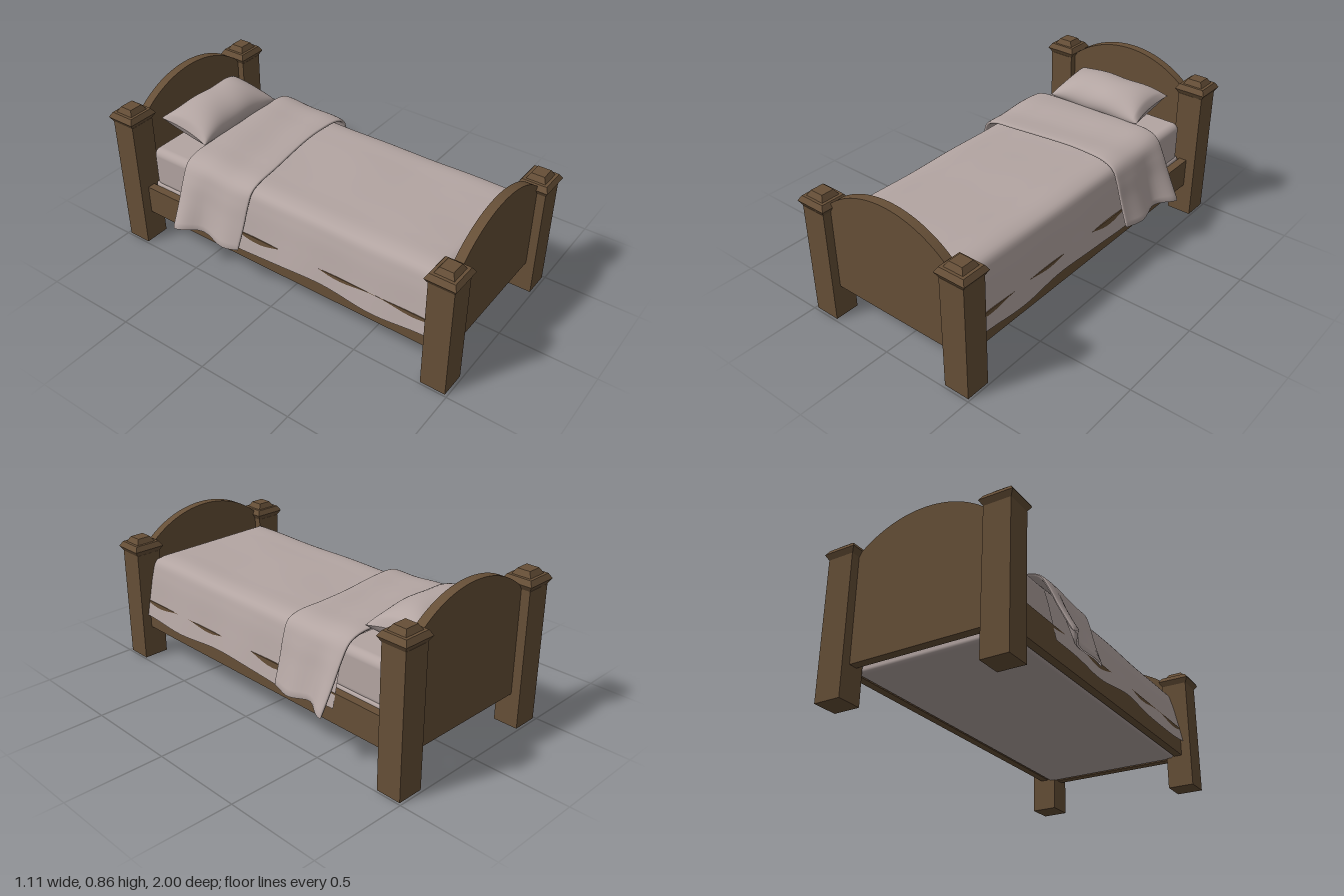
import * as THREE from 'three';
import { RoundedBoxGeometry } from 'three/addons/geometries/RoundedBoxGeometry.js';

const wood = new THREE.MeshStandardMaterial({ color: 0x664f37 });
const cloth = new THREE.MeshStandardMaterial({ color: 0xb3a5a2, side: THREE.DoubleSide });
wood.name = 'wood';
cloth.name = 'cloth';

function part(parent, name, geometry, material, x = 0, y = 0, z = 0) {
  const mesh = new THREE.Mesh(geometry, material);
  mesh.name = name;
  mesh.position.set(x, y, z);
  parent.add(mesh);
  return mesh;
}

// Smooth surface from a rule f(u, v) -> [x, y, z], with u and v in 0..1
function surface(f, nu, nv) {
  const pos = [], index = [];
  for (let i = 0; i <= nu; i++) {
    for (let j = 0; j <= nv; j++) {
      pos.push(...f(i / nu, j / nv));
      if (i < nu && j < nv) {
        const a = i * (nv + 1) + j, b = a + nv + 1;
        index.push(a, a + 1, b, b, a + 1, b + 1);
      }
    }
  }
  const g = new THREE.BufferGeometry();
  g.setAttribute('position', new THREE.Float32BufferAttribute(pos, 3));
  g.setIndex(index);
  g.computeVertexNormals();
  return g;
}

// Draped cross-section: the half profile is mirrored to both sides
function drape(half) {
  const pts = half.map(([x, y]) => new THREE.Vector3(x, y, 0));
  const left = pts.slice(1).reverse().map((p) => new THREE.Vector3(-p.x, p.y, 0));
  return new THREE.CatmullRomCurve3([...left, ...pts]);
}

// Square frustum with hard edges
function frustum(top, bottom, height) {
  const g = new THREE.CylinderGeometry(top / Math.SQRT2, bottom / Math.SQRT2, height, 4)
    .rotateY(Math.PI / 4).scale(1, 1, 0.93).toNonIndexed();
  g.computeVertexNormals();
  return g;
}

function bedPost(parent, x, z, h) {
  const post = new THREE.Group();
  post.name = 'bedPost';
  part(post, 'postShaft', new THREE.BoxGeometry(0.137, h, 0.13), wood, 0, h / 2, 0);
  part(post, 'capFlare', frustum(0.17, 0.137, 0.027), wood, 0, h + 0.0135, 0);
  part(post, 'capSlope', frustum(0.137, 0.17, 0.026), wood, 0, h + 0.04, 0);
  part(post, 'capTop', frustum(0.073, 0.107, 0.027), wood, 0, h + 0.0665, 0);
  post.position.set(x, 0, z);
  parent.add(post);
}

// Panel with an arched top between two posts
function archedPanel(parent, name, shoulder, peak, z) {
  const w = 0.355, rise = peak - shoulder;
  const r = (w * w + rise * rise) / (2 * rise);
  const a = Math.asin(w / r);
  const s = new THREE.Shape();
  s.moveTo(-w, 0.172);
  s.lineTo(w, 0.172);
  s.lineTo(w, shoulder);
  s.absarc(0, peak - r, r, Math.PI / 2 - a, Math.PI / 2 + a, false);
  const g = new THREE.ExtrudeGeometry(s, { depth: 0.046, bevelEnabled: false, curveSegments: 40 });
  part(parent, name, g, wood, 0, 0, z - 0.023);
}

function blanket() {
  const curve = drape([[0, 0.565], [0.2, 0.565], [0.33, 0.561], [0.378, 0.54],
    [0.402, 0.48], [0.43, 0.36], [0.455, 0.243]]);
  // rows along the bed: [z, highest y], rounding down over the foot end
  const rows = [];
  for (let i = 0; i <= 40; i++) rows.push([-0.55 + 1.37 * i / 40, 1]);
  rows.push([0.845, 0.56], [0.865, 0.547], [0.88, 0.52], [0.888, 0.47], [0.892, 0.25]);
  const n = rows.length - 1;
  return surface((u, v) => {
    const p = curve.getPointAt(u);
    const [z, top] = rows[Math.round(v * n)];
    const d = THREE.MathUtils.clamp((0.56 - p.y) / 0.3, 0, 1);
    const ripple = 0.003 * Math.sin(9 * z + 6 * p.x) * Math.cos(5 * p.x - 3 * z);
    const hem = 0.012 * d * Math.cos((z - 0.2) * 8);
    const x = p.x + Math.sign(p.x) * 0.004 * d * Math.sin(14 * z);
    return [x, Math.min(p.y + ripple + hem, top), z];
  }, 90, n);
}

function foldedSheet() {
  const curve = drape([[0, 0.588], [0.2, 0.588], [0.34, 0.581], [0.395, 0.555],
    [0.425, 0.49], [0.452, 0.4], [0.482, 0.31], [0.5, 0.26]]);
  return surface((u, v) => {
    const p = curve.getPointAt(u), t = curve.getTangentAt(u);
    const a = v * Math.PI * 2;
    // flattened loop around the thickness of the cloth
    const c = -Math.cos(a), k = Math.sign(c) * Math.pow(Math.abs(c), 0.8);
    const h = (u === 0 || u === 1 ? 0.003 : 0.011) * Math.sign(Math.sin(a)) * Math.pow(Math.abs(Math.sin(a)), 0.4);
    const d = THREE.MathUtils.clamp((0.56 - p.y) / 0.3, 0, 1);
    const front = -0.195 + 0.022 * Math.cos(6 * (p.x + 0.35)) - 0.02 * d;
    const back = -0.59 + 0.012 * d;
    const z = (front + back) / 2 + k * (front - back) / 2;
    const s = Math.sign(p.x);
    // sides flare toward the pillow and ripple like hanging cloth
    const flare = d * (0.045 * THREE.MathUtils.smoothstep(-z, 0.42, 0.57) + 0.011 * Math.cos((z + 0.31 + 0.02 * s) * 26));
    const lift = (1 - d) * (0.012 * THREE.MathUtils.smoothstep(-z, 0.3, 0.58) + 0.003 * Math.sin(22 * z + 4 * p.x));
    const hem = d * 0.012 * Math.cos((z + 0.48) * 16);
    return [p.x - t.y * h + s * flare, p.y + t.x * h + lift + hem, z];
  }, 90, 48);
}

function pillow() {
  return surface((u, v) => {
    const x = 2 * u - 1, a = v * Math.PI * 2, z = -Math.cos(a);
    const plump = Math.sqrt(Math.max(0, 1 - Math.pow(Math.abs(x), 3)));
    return [
      x * (0.262 + 0.018 * z * z),
      0.094 * Math.sin(a) * plump + 0.004 * Math.sin(7 * x) * z,
      z * (0.137 + 0.012 * x * x),
    ];
  }, 40, 48);
}

export function createModel() {
  const bed = new THREE.Group();
  bed.name = 'bed';

  // Wooden frame
  for (const side of [-1, 1]) {
    bedPost(bed, side * 0.421, 0.922, 0.593);
    bedPost(bed, side * 0.421, -0.922, 0.712);
    part(bed, 'sideRail', new THREE.BoxGeometry(0.042, 0.157, 1.74), wood, side * 0.417, 0.2505, 0);
  }
  archedPanel(bed, 'footboard', 0.632, 0.765, 0.92);
  archedPanel(bed, 'headboard', 0.722, 0.858, -0.917);

  // Mattress on its base
  part(bed, 'mattressBase', new RoundedBoxGeometry(0.785, 0.18, 1.735, 4, 0.02), cloth, 0, 0.257, 0.017);
  part(bed, 'mattress', new RoundedBoxGeometry(0.775, 0.23, 1.72, 6, 0.04), cloth, 0, 0.433, 0.01);

  // Bedding
  part(bed, 'blanket', blanket(), cloth);
  part(bed, 'foldedSheet', foldedSheet(), cloth);
  part(bed, 'pillow', pillow(), cloth, 0, 0.642, -0.722).rotation.x = 0.17;
  return bed;
}
